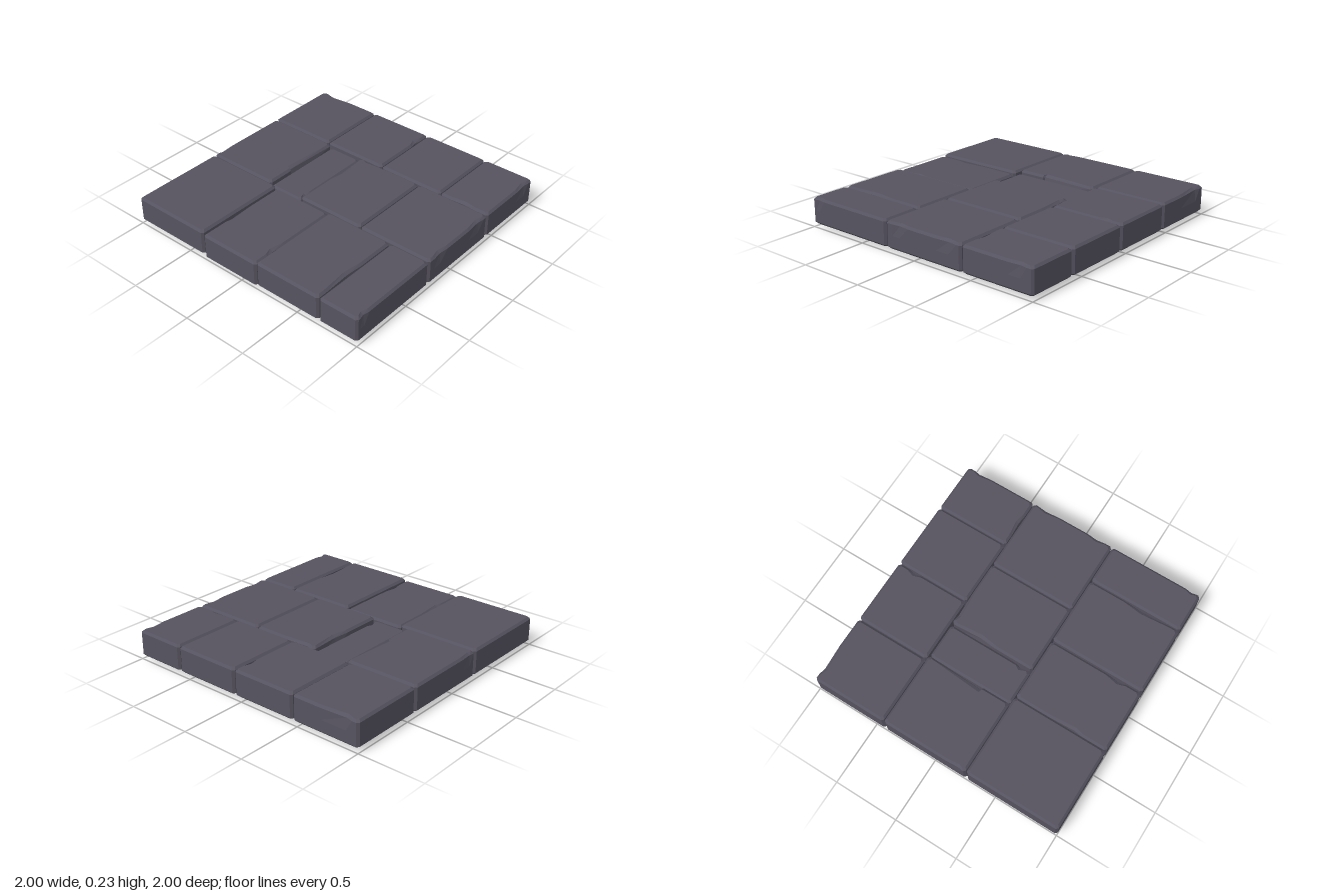
import * as THREE from 'three';

const HEIGHT = 0.2, BASE = 0.03, BEVEL = 0.016, CORNER = 0.016;
const stone = new THREE.MeshStandardMaterial({ color: 0x565360, flatShading: true, roughness: 0.9 });

// Columns of slabs: x range, then each slab's z range, sink depth and chips.
// A chip is [edge, start, peak, end, depth], measured along that edge.
const columns = [
  { name: 'left', x: [0.422, 1], slabs: [
    { z: [-1, -0.462], chips: [['right', -0.95, -0.9, -0.7, 0.02]] },
    { z: [-0.456, 0.058], chips: [['front', 0.8, 0.86, 0.92, 0.02]] },
    { z: [0.064, 0.592] },
    { z: [0.598, 1], chips: [['front', 0.8, 0.9, 0.95, 0.015], ['left', 0.68, 0.8, 0.88, 0.015]] },
  ] },
  { name: 'middle', x: [-0.258, 0.416], slabs: [
    { z: [-1, -0.424], chips: [['front', -0.04, -0.03, 0.4, 0.03], ['back', -0.24, -0.2, -0.1, 0.01]] },
    { z: [-0.42, -0.138], sink: 0.026, chips: [['front', -0.24, -0.18, -0.14, 0.025]] },
    { z: [-0.13, 0.41], chips: [['back', 0.05, 0.18, 0.38, 0.02], ['right', -0.1, -0.06, 0.15, 0.015]] },
    { z: [0.416, 1], chips: [['front', -0.2, -0.13, -0.05, 0.015], ['front', 0.2, 0.31, 0.38, 0.015]] },
  ] },
  { name: 'right', x: [-1, -0.264], slabs: [
    { z: [-1, -0.36] },
    { z: [-0.354, 0.136], sink: 0.015, chips: [['front', -0.88, -0.82, -0.72, 0.02], ['back', -0.8, -0.74, -0.55, 0.015]] },
    { z: [0.142, 0.68], chips: [['front', -0.92, -0.7, -0.55, 0.018]] },
    { z: [0.688, 1], chips: [['front', -0.97, -0.93, -0.88, 0.015]] },
  ] },
];

// Bevelled slab lofted through five outlines, with chips biting into its top edges.
function slabGeometry([x0, x1], [z0, z1], chips = []) {
  // Outline stations in counterclockwise order seen from above
  const stations = [];
  for (const edge of ['front', 'right', 'back', 'left']) {
    const alongX = edge === 'front' || edge === 'back';
    const [lo, hi] = alongX ? [x0, x1] : [z0, z1];
    const list = [{ edge, t: lo, d: 0 }, { edge, t: hi, d: 0 }];
    for (const [e, start, peak, end, depth] of chips) {
      if (e === edge) list.push({ edge, t: start, d: 0 }, { edge, t: peak, d: depth }, { edge, t: end, d: 0 });
    }
    const sign = edge === 'front' || edge === 'left' ? 1 : -1;
    stations.push(...list.sort((a, b) => sign * (a.t - b.t)));
  }

  const place = (s, inset, bite, y) => {
    const ends = inset + CORNER;
    const push = inset + s.d * bite;
    const x = THREE.MathUtils.clamp(s.t, x0 + ends, x1 - ends);
    const z = THREE.MathUtils.clamp(s.t, z0 + ends, z1 - ends);
    if (s.edge === 'front') return [x, y, z1 - push];
    if (s.edge === 'back') return [x, y, z0 + push];
    if (s.edge === 'right') return [x1 - push, y, z];
    return [x0 + push, y, z];
  };

  // Each ring: inset, share of chip depth, height
  const rings = [
    [BEVEL, 0, 0],
    [0, 0, BEVEL],
    [0, 0, HEIGHT * 0.5],
    [0, 0.6, HEIGHT - BEVEL],
    [BEVEL, 1, HEIGHT],
  ];
  const n = stations.length, positions = [], index = [];
  for (const ring of rings) for (const s of stations) positions.push(...place(s, ...ring));
  const cx = (x0 + x1) / 2, cz = (z0 + z1) / 2, bottom = rings.length * n;
  positions.push(cx, 0, cz, cx, HEIGHT, cz);
  const top = (rings.length - 1) * n;
  for (let i = 0; i < n; i++) {
    const j = (i + 1) % n;
    for (let r = 0; r < rings.length - 1; r++) {
      const a = r * n + i, b = r * n + j;
      index.push(a, b, b + n, a, b + n, a + n);
    }
    index.push(bottom, j, i, bottom + 1, top + i, top + j);
  }
  const geometry = new THREE.BufferGeometry();
  geometry.setAttribute('position', new THREE.Float32BufferAttribute(positions, 3));
  geometry.setIndex(index);
  const flat = geometry.toNonIndexed();
  flat.computeVertexNormals();
  return flat;
}

export function createModel() {
  const floor = new THREE.Group();
  floor.name = 'stoneFloor';
  for (const { name, x, slabs } of columns) {
    const column = new THREE.Group();
    column.name = `${name}Column`;
    slabs.forEach(({ z, sink = 0, chips }, i) => {
      const slab = new THREE.Mesh(slabGeometry(x, z, chips), stone);
      slab.name = `${name}Slab${i + 1}`;
      slab.position.y = BASE - sink;
      column.add(slab);
    });
    floor.add(column);
  }
  return floor;
}
